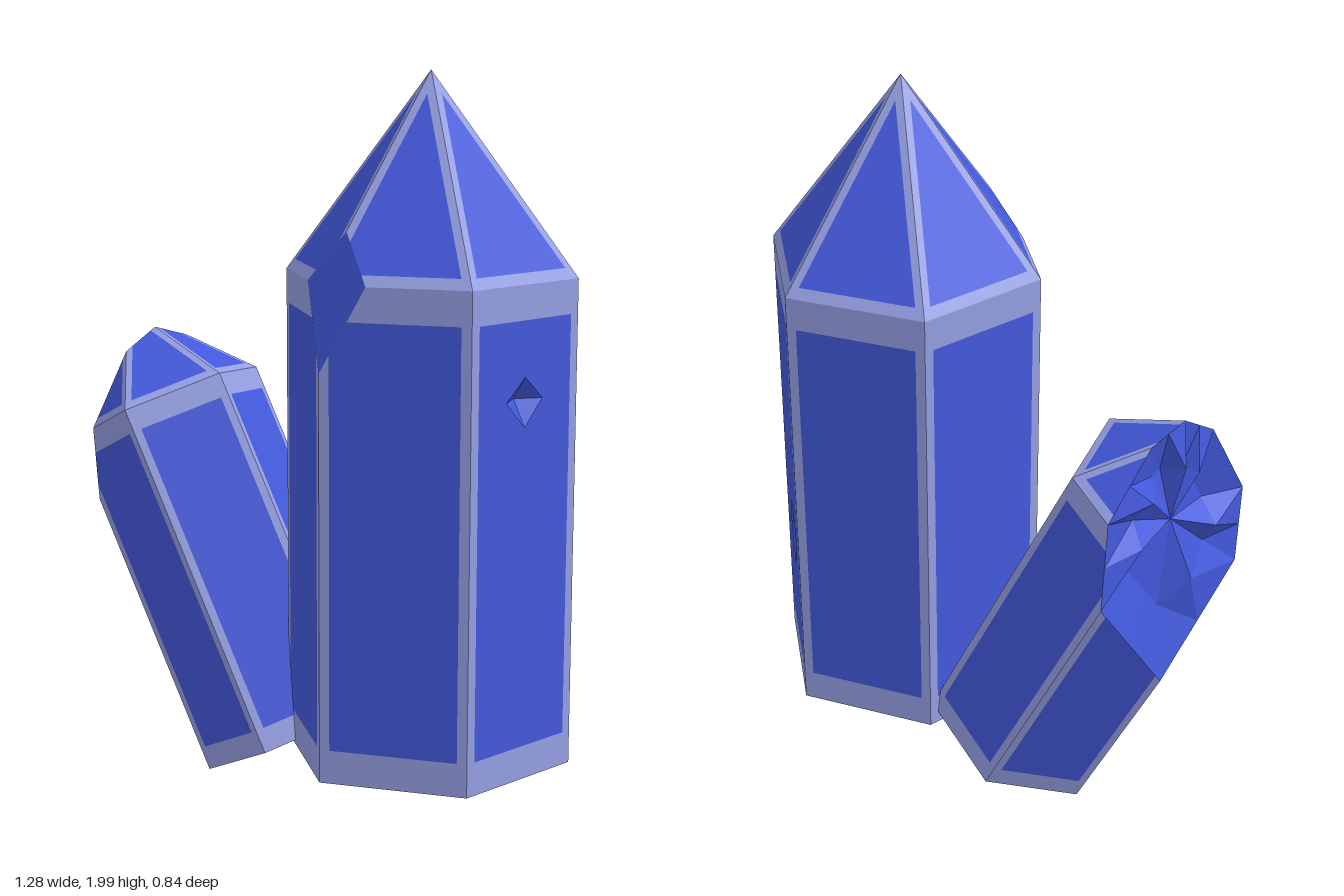
import * as THREE from 'three';

const V = (x, y, z) => new THREE.Vector3(x, y, z);

const blue = new THREE.MeshStandardMaterial({ color: 0x4359dc });
blue.name = 'crystalBlue';
const pale = new THREE.MeshStandardMaterial({ color: 0x959fe3 });
pale.name = 'paleEdge';

// Flat-shaded mesh from a list of convex polygons
function polyMesh(name, polys, material) {
  const pts = [];
  for (const p of polys)
    for (let i = 1; i < p.length - 1; i++) pts.push(p[0], p[i], p[i + 1]);
  const g = new THREE.BufferGeometry().setFromPoints(pts);
  g.computeVertexNormals();
  const mesh = new THREE.Mesh(g, material);
  mesh.name = name;
  return mesh;
}

// Shrink a convex polygon, each edge by its own distance
function insetPoly(p, d) {
  const n = p.length;
  const dir = p.map((a, i) => p[(i + 1) % n].clone().sub(a).normalize());
  const normal = dir[0].clone().cross(dir[1]).normalize();
  return p.map((q, i) => {
    const j = (i + n - 1) % n;
    const s = normal.dot(dir[j].clone().cross(dir[i]));
    return q.clone().addScaledVector(dir[i], d[j] / s).addScaledVector(dir[j], -d[i] / s);
  });
}

// Keep the part of each polygon behind the plane; gather the crossing points
function clip(polys, n, c, crossings = []) {
  return polys.map((p) => {
    const out = [];
    p.forEach((a, i) => {
      const b = p[(i + 1) % p.length];
      const da = n.dot(a) - c, db = n.dot(b) - c;
      if (da <= 0) out.push(a);
      if (da * db < 0) {
        const x = a.clone().lerp(b, da / (da - db));
        out.push(x);
        if (!crossings.some((k) => k.distanceTo(x) < 1e-4)) crossings.push(x);
      }
    });
    return out;
  }).filter((p) => p.length > 2);
}

// Order the crossing points anticlockwise about the plane normal
function sortRing(points, n) {
  const mid = points.reduce((s, p) => s.add(p), V(0, 0, 0)).divideScalar(points.length);
  const u = points[0].clone().sub(mid).normalize();
  const v = n.clone().cross(u);
  const ang = (p) => Math.atan2(p.clone().sub(mid).dot(v), p.clone().sub(mid).dot(u));
  return { ring: points.slice().sort((a, b) => ang(a) - ang(b)), mid };
}

// Smooth break: a single flat facet
const flatCap = (ring) => [ring];

// Rough break: an inner ring of teeth and hollows
function roughCap(ring, mid, n) {
  const depth = [-0.04, 0.012, -0.025, 0.02, -0.045];
  const outer = ring.flatMap((p, i) => [p, p.clone().lerp(ring[(i + 1) % ring.length], 0.5)]);
  const inner = outer.map((p, i) => p.clone().lerp(mid, 0.45).addScaledVector(n, depth[i % 5]));
  const heart = mid.clone().addScaledVector(n, -0.02);
  return outer.flatMap((p, i) => {
    const j = (i + 1) % outer.length;
    return [[p, outer[j], inner[i]], [outer[j], inner[j], inner[i]], [inner[i], inner[j], heart]];
  });
}

// Six-sided pointed crystal with pale edge bands, pits and one break
function crystal(name, o) {
  const at = (k, y) => {
    const a = (k * Math.PI) / 3;
    return V(o.radius * Math.sin(a), y, o.radius * Math.cos(a)).applyMatrix4(o.matrix);
  };
  const tip = V(0, o.tip, 0).applyMatrix4(o.matrix);
  let outlines = [], facets = [], edges = [];
  const pits = [];

  const addFace = (p, d, pit) => {
    const q = insetPoly(p, d);
    outlines.push(p);
    p.forEach((a, i) => {
      const j = (i + 1) % p.length;
      edges.push([a, p[j], q[j], q[i]]);
    });
    if (!pit) { facets.push(q); return; }
    // Sunken four-sided pit, given as bottom, right, top, left
    const right = p[1].clone().sub(p[0]).normalize();
    const up = p[3].clone().sub(p[0]).normalize();
    const base = p[0].clone().lerp(p[1], 0.5);
    const place = ([u, v]) => base.clone().addScaledVector(right, u).addScaledVector(up, v);
    const rim = pit.rim.map(place);
    const deep = place(pit.deep).addScaledVector(right.clone().cross(up), -0.04);
    for (let k = 0; k < 4; k++) {
      const j = (k + 1) % 4;
      facets.push([q[k], q[j], rim[k]], [q[j], rim[j], rim[k]]);
      pits.push([rim[k], rim[j], deep]);
    }
  };

  for (let k = 0; k < 6; k++) {
    addFace([at(k, 0), at(k + 1, 0), at(k + 1, o.height), at(k, o.height)],
      [o.band, o.side, o.band, o.side], o.pits?.[k]);
    addFace([at(k, o.height), at(k + 1, o.height), tip], [o.side * 1.2, o.side * 0.8, o.side * 0.8]);
  }
  const base = [5, 4, 3, 2, 1, 0].map((k) => at(k, 0));
  facets.push(base);
  outlines.push(base);

  // Break off one part along a plane
  const n = o.cut.normal.clone(), len = n.length(), c = o.cut.offset / len;
  n.divideScalar(len);
  const crossings = [];
  clip(outlines, n, c, crossings);
  facets = clip(facets, n, c);
  edges = clip(edges, n, c);
  const { ring, mid } = sortRing(crossings, n);

  const group = new THREE.Group();
  group.name = name;
  group.add(polyMesh('facets', facets, blue), polyMesh('edgeBands', edges, pale),
    polyMesh('brokenFacet', o.cut.cap(ring, mid, n), blue));
  if (pits.length) group.add(polyMesh('pits', pits, blue));
  return group;
}

export function createModel() {
  const model = new THREE.Group();
  model.name = 'crystalCluster';

  // Upright crystal with a chipped front shoulder and two pits
  model.add(crystal('tallCrystal', {
    matrix: new THREE.Matrix4().makeTranslation(0.295, 0.17, -0.025),
    radius: 0.395, height: 1.305, tip: 1.83, side: 0.027, band: 0.09,
    pits: {
      1: { rim: [[0, 0.94], [0.065, 1.01], [0, 1.07], [-0.07, 1.01]], deep: [0, 1.01] },
      2: { rim: [[0.04, 0.36], [0.108, 0.48], [0, 0.56], [-0.06, 0.45]], deep: [0.02, 0.46] },
    },
    cut: { normal: V(0, 0.264, 0.964), offset: 0.687, cap: flatCap },
  }));

  // Leaning crystal, its outer side broken away
  const axis = V(-0.42, 0.9, 0.13).normalize();
  const across = V(0.78, 0.43, -0.458);
  across.addScaledVector(axis, -across.dot(axis)).normalize();
  const lean = new THREE.Matrix4()
    .makeBasis(across, axis, across.clone().cross(axis))
    .setPosition(-0.144, 0.125, 0.043);
  model.add(crystal('leaningCrystal', {
    matrix: lean,
    radius: 0.283, height: 1.02, tip: 1.32, side: 0.022, band: 0.065,
    cut: { normal: V(-1, 0.08, 0), offset: 0.68, cap: roughCap },
  }));

  return model;
}
